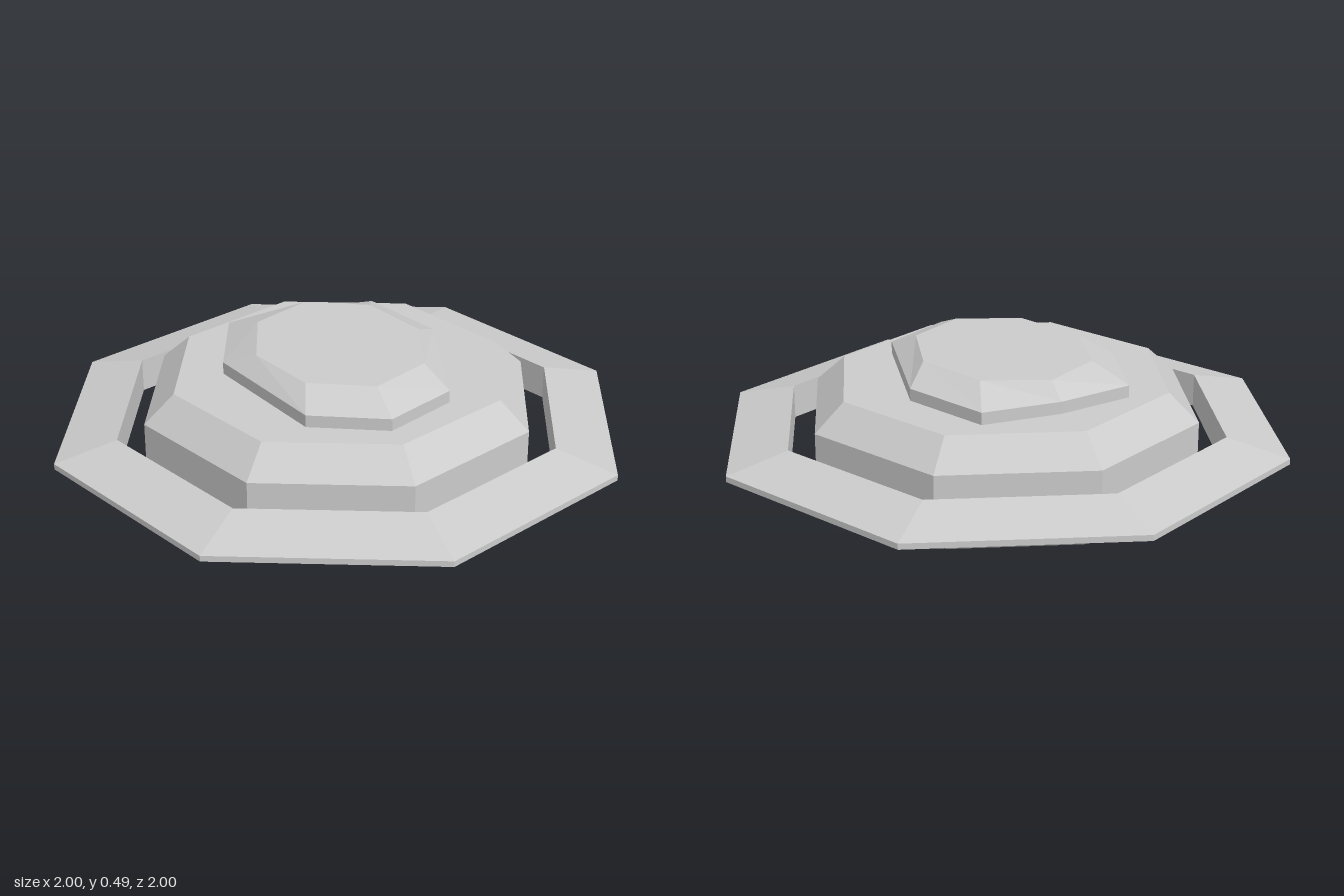
import * as THREE from 'three';

const SIDES = 8;
const material = new THREE.MeshStandardMaterial({
  color: 0xcccccc, flatShading: true, side: THREE.DoubleSide,
});

// Octagonal cross-section at height y, starting at +z and turning toward +x
function octagon(rx, rz, y) {
  return Array.from({ length: SIDES }, (_, i) => {
    const a = (i / SIDES) * Math.PI * 2;
    return [Math.sin(a) * rx, y, Math.cos(a) * rz];
  });
}

// Skin a stack of cross-sections, listed from the outside/bottom upward
function loft(rows) {
  const index = [];
  for (let r = 0; r < rows.length - 1; r++) {
    for (let j = 0; j < SIDES; j++) {
      const k = (j + 1) % SIDES;
      const a = r * SIDES + j, b = r * SIDES + k;
      const c = a + SIDES, d = b + SIDES;
      index.push(a, b, c, b, d, c);
    }
  }
  const geometry = new THREE.BufferGeometry();
  geometry.setAttribute('position', new THREE.Float32BufferAttribute(rows.flat(2), 3));
  geometry.setIndex(index);
  geometry.computeVertexNormals();
  return geometry;
}

function spin(profile) {
  return new THREE.LatheGeometry(profile.map(([r, y]) => new THREE.Vector2(r, y)), SIDES);
}

export function createModel() {
  const model = new THREE.Group();
  model.name = 'saucer';
  const add = (name, geometry) => {
    const mesh = new THREE.Mesh(geometry, material);
    mesh.name = name;
    model.add(mesh);
  };

  // Tapered flat ring floating around the hull
  add('outerRing', spin([[1, 0.19], [1, 0.21], [0.785, 0.26], [0.785, 0.14], [1, 0.19]]));

  // Hollow hull with bevelled shoulders, open underneath
  add('hull', spin([[0.585, 0], [0.69, 0.1], [0.69, 0.3], [0.585, 0.395]]));

  // Lopsided canopy rim: right half from front to back, then mirrored
  const half = [[0, 0.49], [0.25, 0.37], [0.385, -0.09], [0.272, -0.39], [0, -0.42]];
  const outline = [...half, ...half.slice(1, -1).reverse().map(([x, z]) => [-x, z])];
  const rim = (y) => outline.map(([x, z]) => [x, y, z]);

  // Deck joining the hull shoulder to the canopy rim
  add('deck', loft([octagon(0.585, 0.585, 0.395), rim(0.395)]));

  // Low canopy: short wall, sloped facets, flat roof
  add('canopy', loft([
    rim(0.395), rim(0.437), octagon(0.295, 0.355, 0.49), octagon(0, 0, 0.49),
  ]));

  return model;
}
